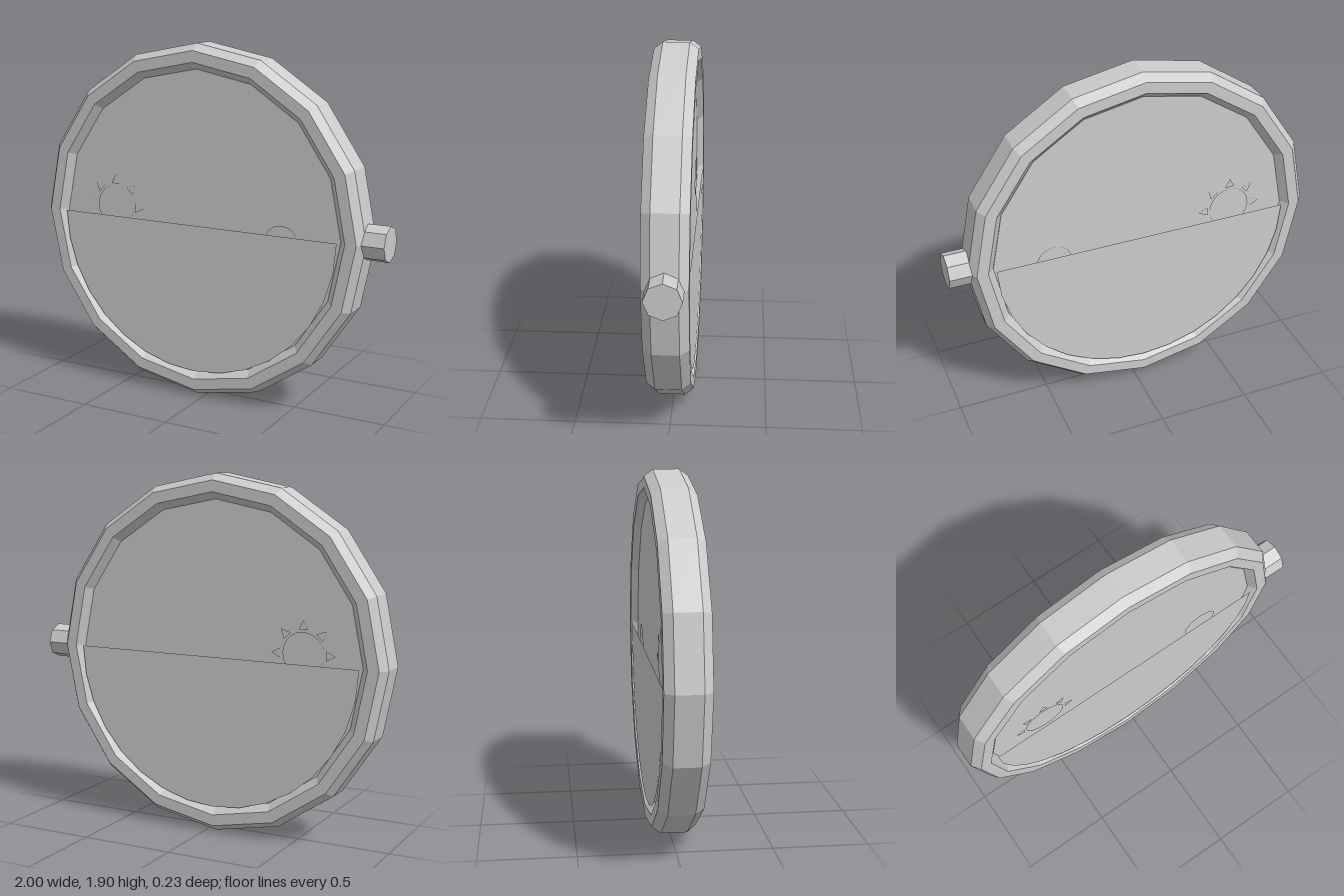
import * as THREE from 'three';

const CX = -0.05, CY = 0.95; // centre of the round case

export function createModel() {
  const model = new THREE.Group();
  const grey = new THREE.MeshStandardMaterial({ color: 0xcccccc, flatShading: true });
  grey.name = 'grey';

  const add = (parent, name, geometry, x = 0, y = 0, z = 0) => {
    const mesh = new THREE.Mesh(geometry, grey);
    mesh.name = name;
    mesh.position.set(x, y, z);
    parent.add(mesh);
    return mesh;
  };

  // Sixteen-sided case ring with a bevelled section
  const section = [
    [0.815, -0.068], [0.855, -0.114], [0.915, -0.114], [0.95, -0.068],
    [0.95, 0.068], [0.915, 0.114], [0.855, 0.114], [0.815, 0.068], [0.815, -0.068],
  ].map(([r, h]) => new THREE.Vector2(r, h));
  add(model, 'caseRing', new THREE.LatheGeometry(section, 16), CX, CY).rotation.x = Math.PI / 2;

  // Backing disc that fills the ring
  add(model, 'skyDisc', new THREE.CylinderGeometry(0.818, 0.818, 0.15, 16), CX, CY)
    .rotation.x = Math.PI / 2;

  // Crown knob on the side
  add(model, 'crownKnob', new THREE.CylinderGeometry(0.093, 0.093, 0.15, 8), 0.925, CY)
    .rotation.z = -Math.PI / 2;

  // Small triangle pointing up, used for the sun rays
  const ray = new THREE.Shape([
    new THREE.Vector2(-0.026, 0.125),
    new THREE.Vector2(0.026, 0.125),
    new THREE.Vector2(0, 0.176),
  ]);

  // Same picture on both faces; the back one is turned round, so its x is mirrored
  for (const side of [1, -1]) {
    const face = new THREE.Group();
    face.name = side > 0 ? 'frontFace' : 'backFace';
    face.rotation.y = side > 0 ? 0 : Math.PI;
    model.add(face);

    add(face, 'horizonHalfDisc', new THREE.CircleGeometry(0.81, 16, Math.PI, Math.PI),
      side * CX, CY, 0.109);

    add(face, 'sunDisc', new THREE.CircleGeometry(0.114, 20), side * -0.55, 1.0, 0.082);
    for (let i = 0; i < 5; i++) {
      add(face, 'sunRay', new THREE.ShapeGeometry(ray), side * -0.55, 1.0, 0.082)
        .rotation.z = (i - 2) * Math.PI / 4;
    }
    add(face, 'moonDisc', new THREE.CircleGeometry(0.097, 20), side * 0.445, 0.903, 0.082);
  }

  return model;
}
